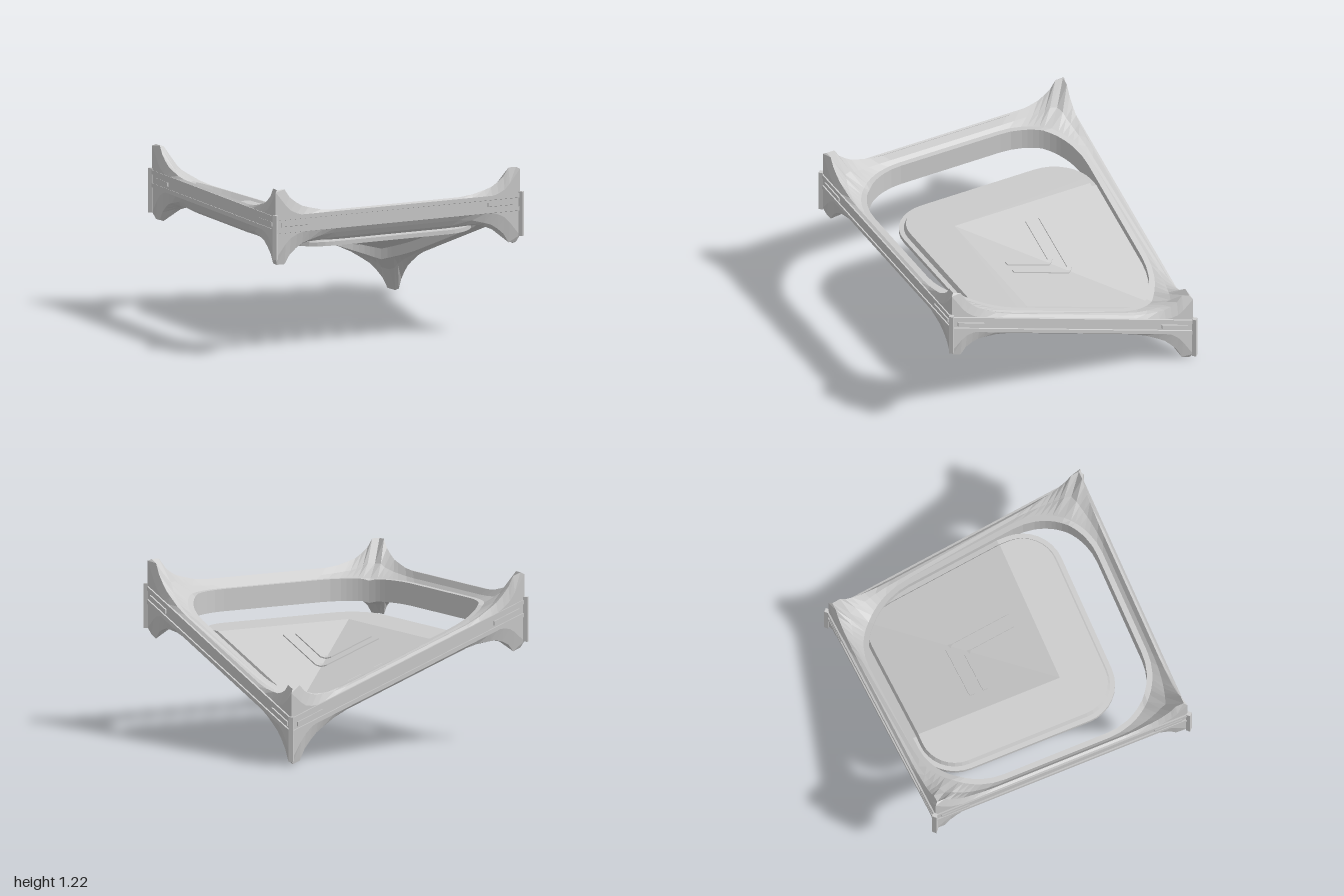
import * as THREE from 'three';

const mat = new THREE.MeshStandardMaterial({ color: 0xcccccc, flatShading: true, side: THREE.DoubleSide });

// Height of the bent sheet: flat at `level`, folding down towards the +x, -z corner
const bend = (level, x, z, base = 0.64, slope = 0.36) => Math.min(level, base - slope * Math.min(x, -z));

// Quarter turns about y: front, +x side, back, -x side
function turn(x, z, k) {
  for (let i = 0; i < k; i++) [x, z] = [z, -x];
  return [x, z];
}

// Skin closed rows of points into a surface
function skin(rows, closed) {
  const n = rows[0].length, m = rows.length, idx = [];
  for (let i = 0; i < (closed ? m : m - 1); i++) {
    for (let j = 0; j < n; j++) {
      const a = i * n + j, b = i * n + (j + 1) % n;
      const c = ((i + 1) % m) * n + (j + 1) % n, d = ((i + 1) % m) * n + j;
      idx.push(a, b, c, a, c, d);
    }
  }
  const geo = new THREE.BufferGeometry();
  geo.setAttribute('position', new THREE.Float32BufferAttribute(rows.flat(2), 3));
  geo.setIndex(idx);
  geo.computeVertexNormals();
  return geo;
}

function add(parent, name, geo) {
  const mesh = new THREE.Mesh(geo, mat);
  mesh.name = name;
  parent.add(mesh);
  return mesh;
}

// Move a geometry's vertices onto the bent sheet
function drape(geo, height) {
  const p = geo.attributes.position;
  for (let i = 0; i < p.count; i++) p.setY(i, p.getY(i) + height(p.getX(i), p.getZ(i)));
  geo.computeVertexNormals();
  return geo;
}

// Stations along a side, with the flare heights of the face edge and of the crest
const T = [0.5, 0.6, 0.7, 0.75, 0.8, 0.85, 0.89, 0.95];
const FACE = [0.06, 0.06, 0.06, 0.06, 0.075, 0.1, 0.14, 0.24];
const CREST = [0.08, 0.09, 0.115, 0.13, 0.16, 0.2, 0.26, 0.26];
const STATIONS = [...T.map((t, i) => [-t, i]).reverse(), ...T.slice(0, -1).map((t, i) => [t, i])];

function loop(fn) {
  const row = [];
  for (let k = 0; k < 4; k++) {
    for (const [t, i] of STATIONS) row.push(fn(t, i, k));
  }
  return row;
}

// Square row at distance `half` from the centre
const squareRow = (half, heights, sign) => loop((t, i, k) => {
  const [x, z] = turn(i === T.length - 1 ? Math.sign(t) * half : t, half, k);
  return [x, bend(1, x, z) + sign * heights[i], z];
});

// Rounded-square row of the inner ring
const ringRow = (half, off) => loop((t, i, k) => {
  const r = half - 0.4, a = (Math.PI / 4) * (Math.abs(t) - 0.5) / 0.45;
  const [x, z] = turn(Math.sign(t) * (0.4 + r * Math.sin(a)), 0.4 + r * Math.cos(a), k);
  return [x, bend(0.915, x, z) + off, z];
});

// Row between crest and ring, sagging to make the corners concave
const sagRow = (p, q) => p.map((a, j) => {
  const b = q[j];
  return [(a[0] + b[0]) / 2, a[1] * 0.35 + b[1] * 0.65, (a[2] + b[2]) / 2];
});

function frameGeometry() {
  const low = CREST.map((h) => h * 1.08);
  const crestTop = squareRow(0.95, CREST, 1), crestBottom = squareRow(0.95, low, -1);
  const ringTop = ringRow(0.9, 0.08), ringBottom = ringRow(0.9, -0.08);
  return skin([
    squareRow(0.97, FACE, -1), squareRow(0.97, FACE, 1),
    crestTop, sagRow(crestTop, ringTop), ringTop, ringRow(0.86, 0.08),
    ringRow(0.86, -0.08), ringBottom, sagRow(crestBottom, ringBottom), crestBottom,
  ], true);
}

// Panel surface, with its fold meeting at (-0.28, 0.28)
const panelY = (x, z) => bend(0.77, x, z, 0.67, 0.357);

function panelRow(inset, off) {
  const c = 0.105, s = 0.455, r = 0.3 - inset, row = [];
  for (let k = 0; k < 4; k++) {
    const [cx, cz] = turn(s, s, k);
    // Extra points where the fold lines cross the straight sides
    if (k === 1) row.push([c + s + r, 0, 0.28]);
    if (k === 3) row.push([-0.65 + inset, 0, 0.28]);
    if (k === 0) row.push([-0.28, 0, -c + s + r]);
    if (k === 2) row.push([-0.28, 0, -c - s - r]);
    for (let i = 0; i <= 8; i++) {
      const [dx, dz] = turn(Math.sin(i * Math.PI / 16), Math.cos(i * Math.PI / 16), k);
      row.push([c + cx + r * dx, 0, -c + cz + r * dz]);
    }
  }
  // Order by angle about the fold point so every facet lies in one plane
  row.sort((p, q) => Math.atan2(p[0] + 0.28, p[2] - 0.28) - Math.atan2(q[0] + 0.28, q[2] - 0.28));
  return row.map(([x, , z]) => [x, panelY(x, z) + off, z]);
}

function panelGeometry() {
  const edge = panelRow(0, -0.035);
  const tip = (off) => edge.map(() => [-0.28, 0.77 + off, 0.28]);
  return skin([tip(-0.035), edge, panelRow(0, -0.005), panelRow(0.035, -0.005),
    panelRow(0.05, 0.03), tip(0.03)], false);
}

// Bent strip, mirrored across the diagonal; `o` is its outer distance
function stripGeometry(o) {
  const i = o - 0.036, end = 0.14;
  const half = [[-end, o], [o - 0.055, o], [o - 0.027, o - 0.027]];
  const inner = [[i - 0.013, i - 0.013], [i - 0.025, i], [-end, i]];
  const flip = ([x, y]) => [y, x];
  const pts = [...half, ...half.slice(0, 2).reverse().map(flip),
    ...inner.slice(1).reverse().map(flip), ...inner];
  const geo = new THREE.ExtrudeGeometry(new THREE.Shape(pts.map((p) => new THREE.Vector2(...p))),
    { depth: 0.083, bevelEnabled: false });
  geo.rotateX(-Math.PI / 2).translate(0, -0.044, 0);
  return drape(geo, panelY);
}

export function createModel() {
  const model = new THREE.Group();
  model.name = 'bentFrameTile';

  add(model, 'frame', frameGeometry());
  add(model, 'panel', panelGeometry());
  add(model, 'outerStrip', stripGeometry(0.355));
  add(model, 'innerStrip', stripGeometry(0.252));

  // Rails, end blocks and corner pins around the outside
  const onFrame = (x, z) => bend(1, x, z);
  for (let k = 0; k < 4; k++) {
    const bar = (name, w, h, x, y) => {
      const geo = new THREE.BoxGeometry(w, h, 0.022).translate(x, y, 0.971);
      add(model, name, drape(geo.rotateY(k * Math.PI / 2), onFrame));
    };
    for (const s of [-1, 1]) {
      bar('rail', 1.93, 0.03, 0, s * 0.047);
      bar('endBlock', 0.21, 0.03, s * 0.82, 0);
    }
    const [x, z] = turn(0.978, 0.978, k);
    add(model, 'cornerPin', new THREE.CylinderGeometry(0.022, 0.022, 0.32, 4))
      .position.set(x, bend(1, x, z) - 0.085, z);
  }
  return model;
}
